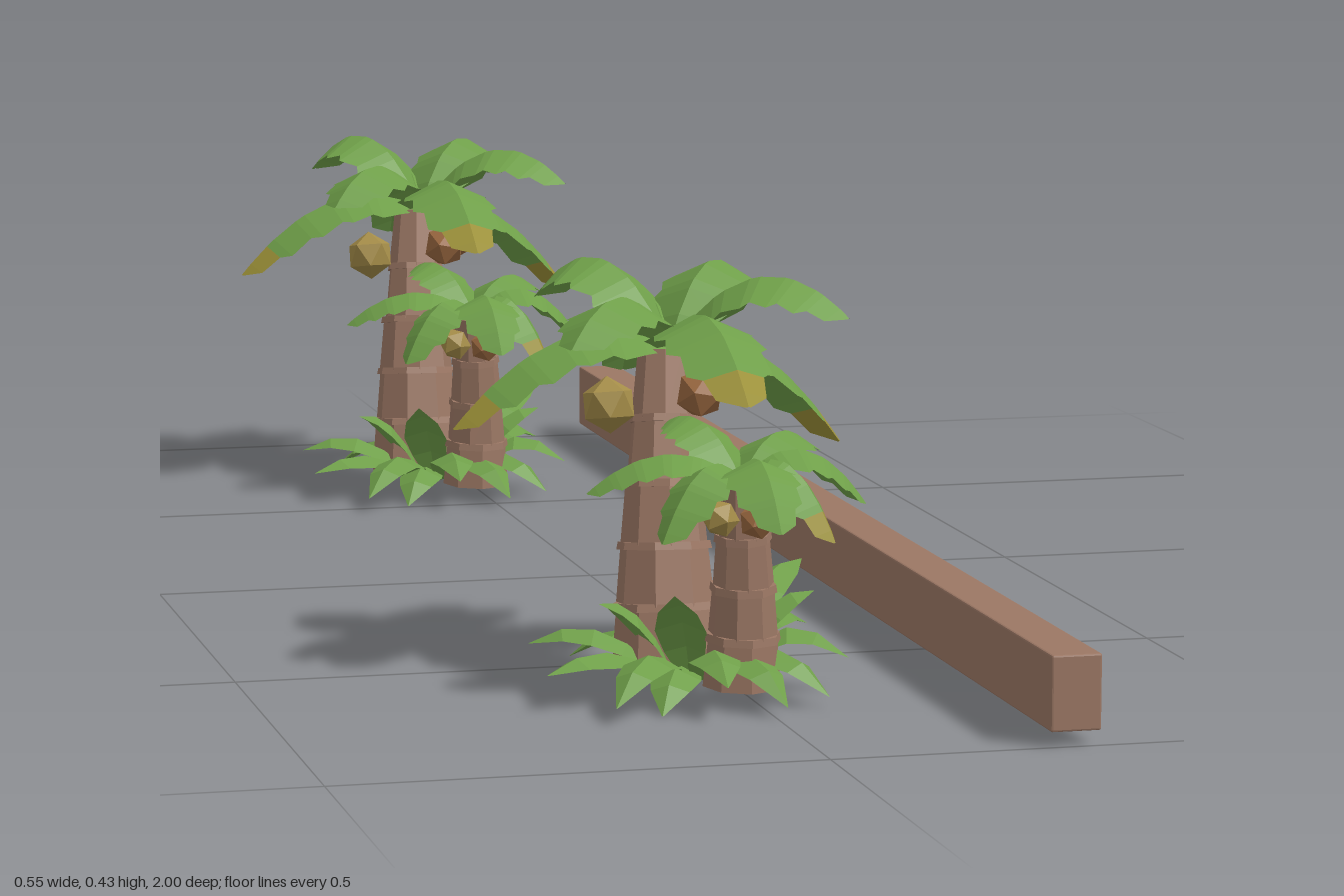
import * as THREE from 'three';
import { RoundedBoxGeometry } from 'three/addons/geometries/RoundedBoxGeometry.js';

const paint = (name, color, extra = {}) =>
  Object.assign(new THREE.MeshStandardMaterial({ color, flatShading: true, ...extra }), { name });
const V = (a) => new THREE.Vector3(...a);

// Half-widths along a blade, as [position, width]; the frond has notched edges
const FROND = [[0, 0.2], [0.12, 0.65], [0.25, 0.95], [0.31, 0.82], [0.45, 1], [0.51, 0.85],
  [0.65, 1], [0.7, 0.8], [0.82, 0.85], [0.86, 0.6], [0.95, 0.5], [1, 0.05]];
const LEAF = [[0, 0.3], [0.25, 0.8], [0.5, 1], [0.75, 0.75], [1, 0.02]];

// Folded blade arching from base to tip, with its end in the second material
function bladeGeometry(base, tip, rise, halfWidth, profile, tipStart) {
  const mid = base.clone().lerp(tip, 0.5);
  mid.y += rise;
  const curve = new THREE.QuadraticBezierCurve3(base, mid, tip);
  const side = new THREE.Vector3(tip.z - base.z, 0, base.x - tip.x).normalize();
  const pos = [], index = [];
  let split = 0;
  profile.forEach(([t, w], i) => {
    const c = curve.getPoint(t);
    const up = curve.getTangent(t).cross(side).normalize();
    if (up.y < 0) up.negate();
    for (const s of [1, 0, -1]) {
      const p = c.clone().addScaledVector(side, s * w * halfWidth);
      if (s) p.addScaledVector(up, -0.45 * w * halfWidth);
      pos.push(p.x, p.y, p.z);
    }
    if (i === 0) return;
    if (profile[i - 1][0] < tipStart) split = i * 12;
    for (const k of [0, 1]) {
      const a = (i - 1) * 3 + k, b = a + 3;
      index.push(a, b, a + 1, a + 1, b, b + 1);
    }
  });
  const g = new THREE.BufferGeometry();
  g.setAttribute('position', new THREE.Float32BufferAttribute(pos, 3));
  g.setIndex(index);
  // Make the upper side the front
  g.computeVertexNormals();
  if (g.attributes.normal.getY(4) < 0) {
    for (let i = 0; i < index.length; i += 3) [index[i], index[i + 1]] = [index[i + 1], index[i]];
    g.setIndex(index);
    g.computeVertexNormals();
  }
  g.addGroup(0, split, 0);
  g.addGroup(split, index.length - split, 1);
  return g;
}

export function createModel() {
  const wood = paint('beam brown', 0x9b7764);
  const bark = paint('bark brown', 0x9b7764);
  const green = paint('leaf green', 0x6f9f49, { side: THREE.DoubleSide });
  const yellow = paint('dry leaf yellow', 0x9c9138, { side: THREE.DoubleSide });
  const nutBrown = paint('coconut brown', 0x9a6840);
  const nutGold = paint('coconut gold', 0xa48c48);

  const root = new THREE.Group();
  root.name = 'palmsAndBeam';
  const add = (parent, name, geometry, material) => {
    const m = new THREE.Mesh(geometry, material);
    m.name = name;
    parent.add(m);
    return m;
  };

  // Trunk: stacked segments with a ring at each joint
  function trunk(parent, points, r0, r1, count) {
    const curve = new THREE.QuadraticBezierCurve3(...points.map(V));
    const up = new THREE.Vector3(0, 1, 0);
    for (let i = 0; i < count; i++) {
      const a = curve.getPoint(i / count), b = curve.getPoint((i + 1) / count);
      const dir = b.clone().sub(a);
      const r = r0 + (r1 - r0) * (i / count);
      const rTop = r0 + (r1 - r0) * ((i + 1) / count);
      const part = new THREE.Group();
      part.name = 'trunkSegment';
      part.position.copy(a).lerp(b, 0.5);
      part.quaternion.setFromUnitVectors(up, dir.clone().normalize());
      part.rotateY(i * 0.35);
      parent.add(part);
      const len = dir.length();
      add(part, 'trunkBark', new THREE.CylinderGeometry(rTop, r, len * 1.04, 8), bark);
      if (i < count - 1) {
        add(part, 'trunkRing', new THREE.CylinderGeometry(rTop * 1.06, rTop * 1.1, 0.008, 8), bark)
          .position.y = len / 2;
      }
    }
  }

  function palm(name, t, crown, fronds, halfWidth, nuts) {
    const g = new THREE.Group();
    g.name = name;
    trunk(g, t.points, t.r0, t.r1, t.count);
    fronds.forEach(([x, y, z, rise, dry]) => add(g, 'frond',
      bladeGeometry(V(crown), V([x, y, z]), rise, halfWidth, FROND, dry ? 0.84 : 2), [green, yellow]));
    nuts.forEach(([x, y, z, r, gold]) => {
      const n = add(g, 'coconut', new THREE.IcosahedronGeometry(r, 0), gold ? nutGold : nutBrown);
      n.position.set(x, y, z);
      n.rotation.set(x * 30, z * 20, 0.4);
    });
    return g;
  }

  function clump() {
    const g = new THREE.Group();
    g.name = 'palmClump';

    // Tall palm: tips as x, y, z, rise, dry end
    g.add(palm('tallPalm',
      { points: [[-0.062, 0.023, 0.6], [-0.064, 0.17, 0.585], [-0.052, 0.34, 0.543]], r0: 0.059, r1: 0.027, count: 5 },
      [-0.045, 0.347, 0.54],
      [[-0.277, 0.268, 0.545, 0.1, 1], [0.16, 0.228, 0.475, 0.09, 1], [-0.155, 0.385, 0.4, 0.13, 0],
        [0.118, 0.385, 0.65, 0.115, 0], [-0.04, 0.29, 0.317, 0.13, 0], [-0.02, 0.315, 0.765, 0.12, 1],
        [0.075, 0.375, 0.41, 0.13, 0], [-0.18, 0.365, 0.67, 0.105, 0]],
      0.055,
      [[-0.115, 0.29, 0.56, 0.03, 1], [-0.025, 0.303, 0.59, 0.027, 0], [0.0, 0.305, 0.54, 0.025, 0],
        [-0.04, 0.3, 0.495, 0.024, 1]]));

    // Short palm
    g.add(palm('shortPalm',
      { points: [[-0.013, 0.021, 0.715], [-0.01, 0.12, 0.718], [-0.02, 0.232, 0.737]], r0: 0.041, r1: 0.023, count: 4 },
      [-0.02, 0.237, 0.737],
      [[-0.172, 0.222, 0.7, 0.065, 0], [-0.118, 0.185, 0.8, 0.085, 0], [0.115, 0.205, 0.725, 0.085, 0],
        [0.06, 0.18, 0.805, 0.095, 1], [-0.01, 0.2, 0.855, 0.09, 0], [-0.075, 0.285, 0.65, 0.055, 0],
        [0.075, 0.255, 0.65, 0.06, 0]],
      0.04,
      [[-0.048, 0.202, 0.76, 0.02, 1], [-0.012, 0.2, 0.77, 0.02, 0], [0.012, 0.203, 0.745, 0.019, 1],
        [-0.025, 0.202, 0.705, 0.018, 0]]));

    // Leaves around the foot
    const heart = V([-0.045, 0.018, 0.645]);
    [[-0.218, 0.04, 0.72, 0.05], [-0.21, 0.05, 0.6, 0.06], [-0.165, 0.02, 0.8, 0.08],
      [-0.11, 0.003, 0.77, 0.06], [-0.09, 0.12, 0.74, 0.03], [-0.15, 0.1, 0.66, 0.05],
      [0.122, 0.1, 0.46, 0.06], [0.105, 0.04, 0.7, 0.08], [0.065, 0.015, 0.77, 0.08],
      [0.085, 0.1, 0.64, 0.05], [0.01, 0.015, 0.81, 0.08], [0.1, 0.05, 0.56, 0.07],
      [-0.15, 0.02, 0.53, 0.07], [0.035, 0.02, 0.5, 0.07, 1], [-0.055, 0.04, 0.82, 0.07],
    ].forEach(([x, y, z, rise, dry]) => {
      const tip = V([x, y, z]);
      const base = heart.clone().lerp(tip, 0.2);
      base.y = 0.02;
      add(g, 'groundLeaf', bladeGeometry(base, tip, rise, 0.027, LEAF, dry ? 0.7 : 2), [green, yellow]);
    });
    return g;
  }

  // Two matching clumps along the beam
  for (const dz of [0, -1.275]) {
    const c = clump();
    c.position.z = dz;
    root.add(c);
  }

  // Long beam beside them
  add(root, 'beam', new RoundedBoxGeometry(0.052, 0.077, 2, 1, 0.002), wood).position.set(0.251, 0.0565, 0);
  return root;
}
